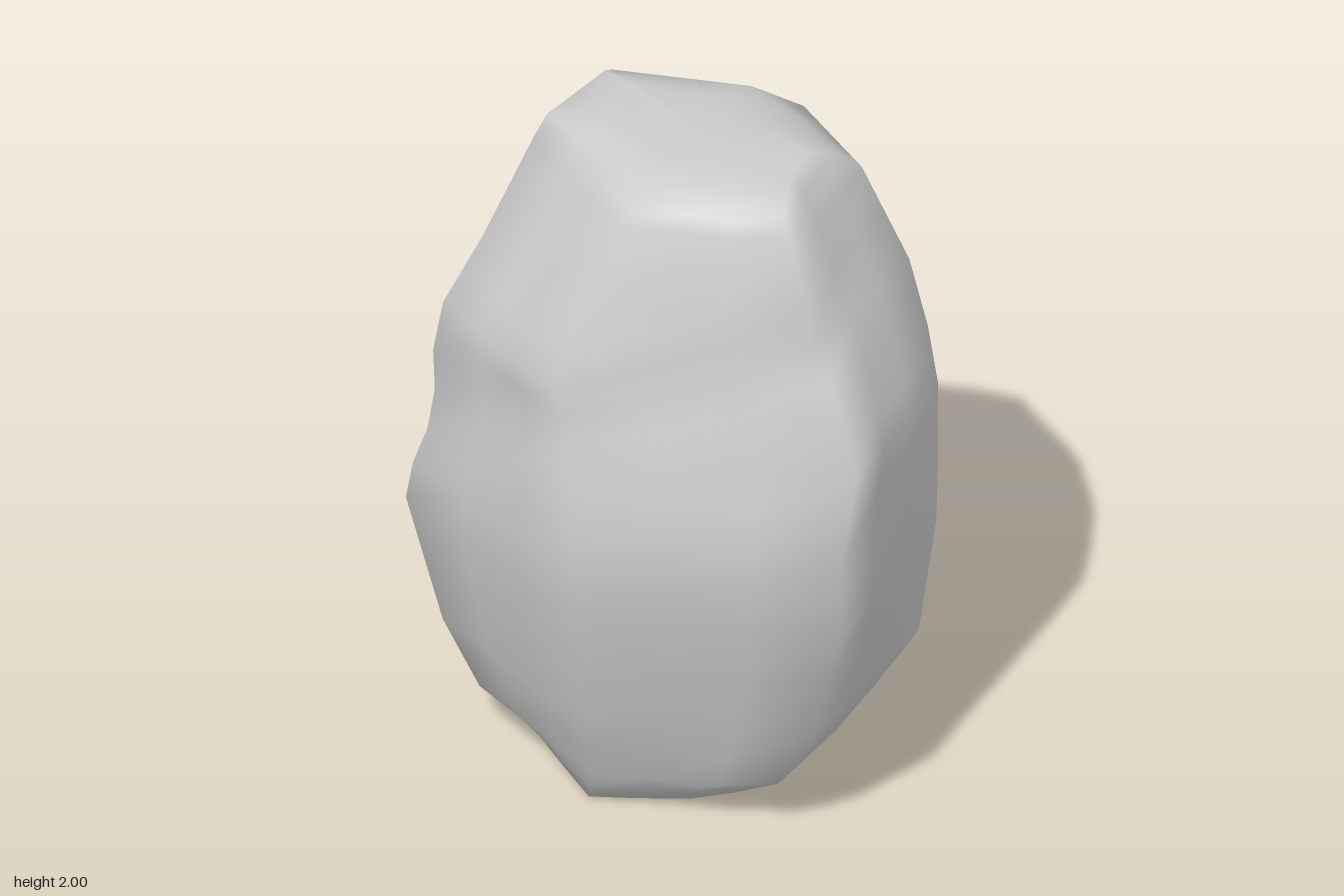
import * as THREE from 'three';

// Height, then x,z of the six main ridges:
// front, front left, back left, back, back right, right
const LEVELS = [
  [0.01, -0.13, 0.26, 0.12, 0.15, 0.12, -0.20, -0.05, -0.30, -0.34, -0.28, -0.50, -0.03],
  [0.14, -0.09, 0.33, 0.40, 0.20, 0.51, -0.34, 0.14, -0.40, -0.42, -0.31, -0.54, 0.08],
  [0.38, -0.07, 0.43, 0.53, 0.24, 0.55, -0.35, 0.20, -0.46, -0.50, -0.33, -0.61, 0.16],
  [0.78, -0.05, 0.53, 0.65, 0.32, 0.63, -0.29, 0.22, -0.51, -0.53, -0.36, -0.69, 0.22],
  [1.02, -0.04, 0.545, 0.66, 0.35, 0.66, -0.24, 0.22, -0.54, -0.52, -0.36, -0.645, 0.23],
  [1.27, -0.08, 0.505, 0.68, 0.30, 0.67, -0.22, 0.22, -0.535, -0.51, -0.36, -0.61, 0.22],
  [1.43, -0.13, 0.48, 0.635, 0.28, 0.63, -0.24, 0.22, -0.52, -0.49, -0.35, -0.58, 0.22],
  [1.62, -0.10, 0.42, 0.57, 0.27, 0.57, -0.25, 0.21, -0.48, -0.44, -0.33, -0.50, 0.14],
  [1.90, 0.00, 0.32, 0.45, 0.22, 0.45, -0.21, 0.18, -0.41, -0.35, -0.29, -0.40, 0.04],
  [1.97, 0.02, 0.24, 0.41, 0.18, 0.40, -0.14, 0.06, -0.34, -0.31, -0.25, -0.37, 0.02],
  [2.00, 0.03, 0.13, 0.37, 0.09, 0.36, -0.08, 0.05, -0.17, -0.20, -0.17, -0.22, 0.00],
];
const EDGE_STEPS = 3;
const LEVEL_STEPS = 2;
const { lerp, smoothstep } = THREE.MathUtils;

// Ridge points of one level, with an extra bevel between back right and right
function ridgePoints(level) {
  const points = [];
  for (let i = 1; i < level.length; i += 2) points.push([level[i], level[i + 1]]);
  const [x, z] = points[4];
  const k = (x / 0.53) ** 4;
  points.splice(5, 0, [x - 0.12 * k, z + 0.1 * k]);
  return points;
}

// Shallow slanting groove across the front, with a small pit at its upper end
function carve(x, y, z) {
  const groove = (0.03 + 0.06 * x * x) * Math.exp(-(((y - 1.36 - 0.43 * x) / 0.09) ** 2));
  const pit = 0.04 * Math.exp(-(((x - 0.55) / 0.08) ** 2 + ((y - 1.63) / 0.05) ** 2));
  const cut = 1 - smoothstep(z, 0.04, 0.26) * (groove + pit);
  return [x * cut, y, z * cut];
}

// Underside: curled up a little at the right, a slanting plane at the back left
function liftUnderside(x, height, z) {
  const curled = height + 0.15 * x * x * Math.max(0, 1 - height / 0.14);
  return Math.max(curled, 0.617 * x - 0.175 * z - 0.044);
}

function rockGeometry() {
  const positions = [];
  const indices = [];
  const rings = LEVELS.map(ridgePoints);
  const sides = rings[0].length;
  const perRing = sides * EDGE_STEPS;
  const rows = (LEVELS.length - 1) * LEVEL_STEPS + 1;

  for (let r = 0; r < rows; r++) {
    const low = Math.min(Math.floor(r / LEVEL_STEPS), LEVELS.length - 2);
    const t = r / LEVEL_STEPS - low;
    const height = lerp(LEVELS[low][0], LEVELS[low + 1][0], t);
    const ring = rings[low].map(([x, z], i) => [
      lerp(x, rings[low + 1][i][0], t),
      lerp(z, rings[low + 1][i][1], t),
    ]);
    for (let s = 0; s < perRing; s++) {
      const a = ring[Math.floor(s / EDGE_STEPS)];
      const b = ring[(Math.floor(s / EDGE_STEPS) + 1) % sides];
      const u = (s % EDGE_STEPS) / EDGE_STEPS;
      const x = lerp(a[0], b[0], u);
      const z = lerp(a[1], b[1], u);
      positions.push(...carve(x, liftUnderside(x, height, z), z));
    }
  }
  for (let r = 0; r < rows - 1; r++) {
    for (let s = 0; s < perRing; s++) {
      const a = r * perRing + s;
      const b = r * perRing + ((s + 1) % perRing);
      indices.push(a, b, b + perRing, a, b + perRing, a + perRing);
    }
  }

  // Close the underside and the top
  const bottom = positions.length / 3;
  positions.push(-0.05, 0, -0.05, 0.1, 2, -0.02);
  const last = (rows - 1) * perRing;
  for (let s = 0; s < perRing; s++) {
    const next = (s + 1) % perRing;
    indices.push(bottom, next, s, bottom + 1, last + s, last + next);
  }

  const geometry = new THREE.BufferGeometry();
  geometry.setAttribute('position', new THREE.Float32BufferAttribute(positions, 3));
  geometry.setIndex(indices);
  geometry.computeVertexNormals();
  return geometry;
}

export function createModel() {
  const group = new THREE.Group();
  group.name = 'boulder';
  const rock = new THREE.Mesh(
    rockGeometry(),
    new THREE.MeshStandardMaterial({ color: 0xcccccc })
  );
  rock.name = 'rock';
  group.add(rock);
  return group;
}
